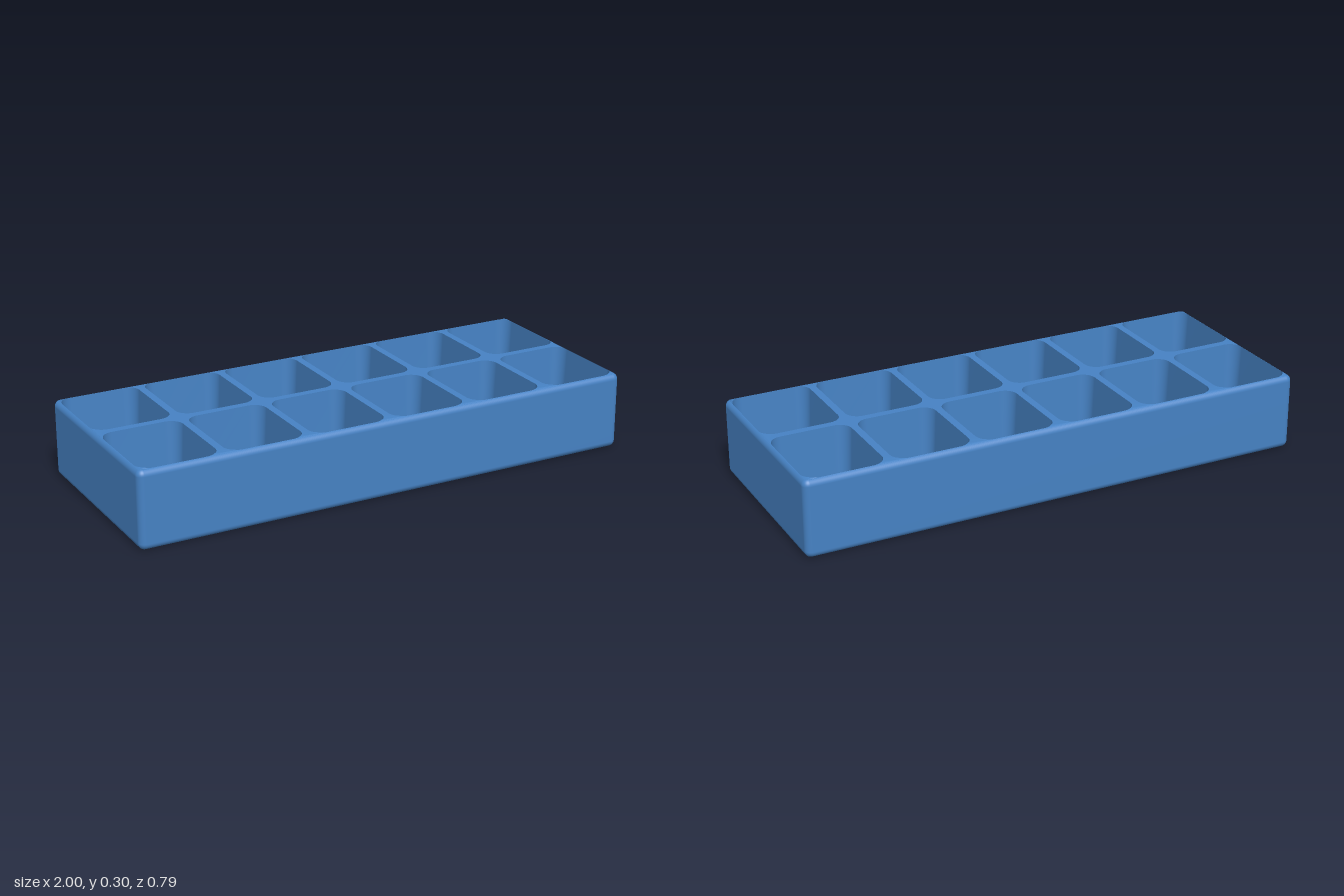
import * as THREE from 'three';

const HX = 1, HZ = 0.395, H = 0.3, R = 0.025; // outer half sizes, height, edge radius
const RIM = 0.012;                            // where the rounded edge meets the deck
const CX = 0.1525, CZ = 0.1825, CR = 0.05;    // cell opening half sizes, corner radius
const FLOOR = 0.03, DRAFT = 0.01, FILLET = 0.022;

// height of the rounded top at a point in plan
function topY(x, z) {
  const dx = Math.max(0, Math.abs(x) - (HX - R));
  const dz = Math.max(0, Math.abs(z) - (HZ - R));
  return H - R + Math.sqrt(Math.max(0, R * R - dx * dx - dz * dz));
}

// rounded rectangle in plan as a loop of points
function ring(hx, hz, r, cx = 0, cz = 0, n = 8) {
  const pts = [];
  [[1, 1], [-1, 1], [-1, -1], [1, -1]].forEach(([sx, sz], q) => {
    for (let i = 0; i <= n; i++) {
      const a = (q + i / n) * Math.PI / 2;
      pts.push(new THREE.Vector2(
        cx + sx * (hx - r) + r * Math.cos(a),
        cz + sz * (hz - r) + r * Math.sin(a)));
    }
  });
  return pts;
}

// skin over loops; each loop is { pts, y } with y a number or a function of x, z
function loft(loops) {
  const pos = [], idx = [], n = loops[0].pts.length;
  for (const { pts, y } of loops)
    for (const p of pts) pos.push(p.x, typeof y === 'function' ? y(p.x, p.y) : y, p.y);
  for (let j = 0; j < loops.length - 1; j++)
    for (let i = 0; i < n; i++) {
      const a = j * n + i, b = j * n + (i + 1) % n;
      idx.push(a, a + n, b, b, a + n, b + n);
    }
  const g = new THREE.BufferGeometry();
  g.setAttribute('position', new THREE.Float32BufferAttribute(pos, 3));
  g.setIndex(idx);
  g.computeVertexNormals();
  return g;
}

const outer = inset => ring(HX - inset, HZ - inset, Math.max(R - inset, 0.0005));

// closed underside, rounded lower edge, walls and rounded upper edge
function shellGeometry() {
  const loops = [{ pts: ring(0, 0, 0), y: 0 }];
  const steps = 8;
  for (let i = 0; i <= steps; i++) {
    const a = i / steps * Math.PI / 2;
    loops.push({ pts: outer(R * (1 - Math.sin(a))), y: R * (1 - Math.cos(a)) });
  }
  const end = Math.acos((R - RIM) / R);
  for (let i = 0; i <= steps; i++) {
    const a = i / steps * end;
    loops.push({ pts: outer(R * (1 - Math.cos(a))), y: H - R + R * Math.sin(a) });
  }
  return loft(loops);
}

// top face with a hole for every cell
function deckGeometry(centres) {
  const shape = new THREE.Shape(outer(RIM));
  for (const [x, z] of centres) shape.holes.push(new THREE.Path(ring(CX, CZ, CR, x, z)));
  const g = new THREE.ShapeGeometry(shape).rotateX(-Math.PI / 2);
  const p = g.attributes.position;
  for (let i = 0; i < p.count; i++) p.setY(i, topY(p.getX(i), p.getZ(i)));
  g.computeVertexNormals();
  return g;
}

// tapered pocket with a rounded floor edge
function cellGeometry(cx, cz) {
  const at = (d, y) => ({ pts: ring(CX - d, CZ - d, CR - d, cx, cz), y });
  const loops = [at(0, topY)];
  const steps = 8;
  for (let i = 0; i <= steps; i++) {
    const a = i / steps * Math.PI / 2;
    loops.push(at(DRAFT + FILLET * (1 - Math.cos(a)), FLOOR + FILLET * (1 - Math.sin(a))));
  }
  loops.push({ pts: ring(0, 0, 0, cx, cz), y: FLOOR });
  return loft(loops);
}

export function createModel() {
  const tray = new THREE.Group();
  tray.name = 'iceCubeTray';
  const material = new THREE.MeshStandardMaterial({ color: 0x4682c4 });
  const add = (name, geometry) => {
    const mesh = new THREE.Mesh(geometry, material);
    mesh.name = name;
    tray.add(mesh);
  };

  // two rows of six cells
  const centres = [];
  for (const z of [-0.1975, 0.1975])
    for (let i = 0; i < 6; i++) centres.push([(i - 2.5) / 3, z]);

  add('outerShell', shellGeometry());
  add('topDeck', deckGeometry(centres));
  centres.forEach(([x, z], i) => add(`cell${i + 1}`, cellGeometry(x, z)));
  return tray;
}
